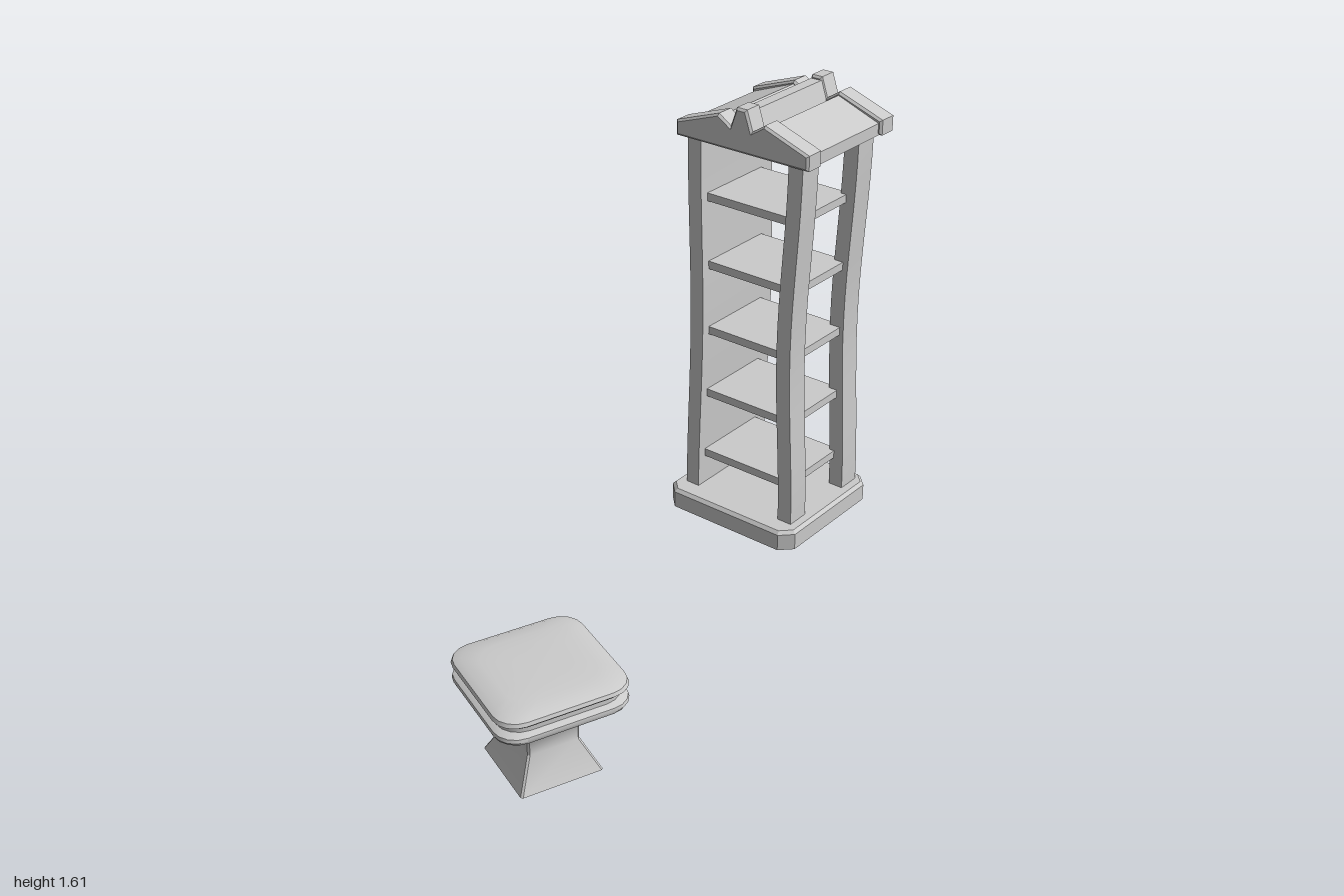
import * as THREE from 'three';
import { toCreasedNormals } from 'three/addons/utils/BufferGeometryUtils.js';

const material = new THREE.MeshStandardMaterial({ color: 0xcccccc });

function add(parent, name, geometry, x = 0, y = 0, z = 0) {
  const mesh = new THREE.Mesh(geometry, material);
  mesh.name = name;
  mesh.position.set(x, y, z);
  parent.add(mesh);
  return mesh;
}

// Closed stack of square rings [y, half width], corners cut by radius r in n steps
function squareLoft(rings, r, n, crease) {
  const pos = [], idx = [], count = 4 * (n + 1);
  for (const [y, h] of rings) {
    for (let q = 0; q < 4; q++) {
      for (let k = 0; k <= n; k++) {
        const a = (q + (n ? k / n : 0.5)) * Math.PI / 2;
        const m = (q + 0.5) * Math.PI / 2;
        const c = h - r;
        pos.push(Math.sign(Math.cos(m)) * c + r * Math.cos(a), y,
          Math.sign(Math.sin(m)) * c + r * Math.sin(a));
      }
    }
  }
  for (let i = 0; i < rings.length - 1; i++) {
    for (let j = 0; j < count; j++) {
      const a = i * count + j, b = i * count + (j + 1) % count;
      idx.push(a, a + count, b, b, a + count, b + count);
    }
  }
  // Bottom and top caps
  const bottom = pos.length / 3, top = bottom + 1, last = (rings.length - 1) * count;
  pos.push(0, rings[0][0], 0, 0, rings[rings.length - 1][0], 0);
  for (let j = 0; j < count; j++) {
    const k = (j + 1) % count;
    idx.push(bottom, j, k, top, last + k, last + j);
  }
  const g = new THREE.BufferGeometry();
  g.setAttribute('position', new THREE.Float32BufferAttribute(pos, 3));
  g.setIndex(idx);
  return toCreasedNormals(g, crease);
}

// Upright board whose middle is shifted along z
function bowedBoard(w, h, d, bow) {
  const g = new THREE.BoxGeometry(w, h, d, 1, 16, 1);
  const p = g.attributes.position;
  for (let i = 0; i < p.count; i++) {
    const t = p.getY(i) / h;
    p.setZ(i, p.getZ(i) + bow * 0.5 * (1 + Math.cos(t * Math.PI * 2)));
  }
  g.computeVertexNormals();
  return g;
}

// Gabled roof slice along x, shrunk inwards by inset
function roofSlice(length, inset, bevel) {
  const half = [[0.275, 1.45], [0.275, 1.505], [0.095, 1.568], [0.045, 1.535], [0.021, 1.605]];
  const right = half.map(([z, y], i) =>
    new THREE.Vector2(i < 2 ? z - inset : z, i === 0 ? y : y - inset));
  const left = right.map(v => new THREE.Vector2(-v.x, v.y)).reverse();
  const g = new THREE.ExtrudeGeometry(new THREE.Shape([...right, ...left]), {
    depth: length - 2 * bevel, bevelEnabled: bevel > 0, bevelSize: bevel,
    bevelOffset: -bevel, bevelThickness: bevel, bevelSegments: 1,
  });
  g.translate(0, 0, bevel - length / 2);
  return g.rotateY(Math.PI / 2);
}

function buildBookcase() {
  const g = new THREE.Group();
  g.name = 'bookcase';

  // Plinth with cut corners
  const w = 0.265, d = 0.283, c = 0.045;
  const outline = [[w, d - c], [w - c, d], [c - w, d], [-w, d - c],
    [-w, c - d], [c - w, -d], [w - c, -d], [w, c - d]].map(p => new THREE.Vector2(...p));
  const plinth = new THREE.ExtrudeGeometry(new THREE.Shape(outline), {
    depth: 0.063, bevelSize: 0.012, bevelOffset: -0.012, bevelThickness: 0.012, bevelSegments: 1,
  });
  // Flatten the lower bevel so only the top edge is chamfered
  const p = plinth.attributes.position;
  for (let i = 0; i < p.count; i++) p.setZ(i, Math.max(p.getZ(i), 0));
  plinth.rotateX(-Math.PI / 2);
  plinth.computeVertexNormals();
  add(g, 'plinth', plinth, -0.016, 0, 0);

  // Bowed front posts and back panel
  const h = 1.4, mid = 0.06 + h / 2;
  for (const s of [-1, 1]) {
    add(g, s > 0 ? 'leftFrontPost' : 'rightFrontPost',
      bowedBoard(0.09, h, 0.058, -0.027), s * 0.163, mid, 0.213);
  }
  add(g, 'backPanel', bowedBoard(0.41, h, 0.056, 0.015), 0, mid, -0.213);

  // Shelves
  for (let i = 0; i < 5; i++) {
    add(g, 'shelf', new THREE.BoxGeometry(0.31, 0.03, 0.4), -0.015, 0.205 + i * 0.256, 0);
  }

  // Roof with thicker gable ends
  add(g, 'roof', roofSlice(0.4, 0.012, 0), 0.026, 0, 0);
  for (const s of [-1, 1]) {
    add(g, s > 0 ? 'leftGable' : 'rightGable', roofSlice(0.08, 0, 0.008), 0.026 + s * 0.215, 0, 0);
  }
  return g;
}

function buildStool() {
  const g = new THREE.Group();
  g.name = 'stool';
  // Flared square pedestal
  add(g, 'pedestal', squareLoft([[0.01, 0.137], [0.115, 0.086], [0.16, 0.086],
    [0.235, 0.128], [0.268, 0.145]], 0.006, 1, 0.6));
  // Cushioned seat with a groove around its edge
  add(g, 'seat', squareLoft([[0.262, 0.14], [0.264, 0.19], [0.274, 0.212], [0.285, 0.217],
    [0.296, 0.215], [0.304, 0.203], [0.306, 0.198], [0.329, 0.198], [0.331, 0.21],
    [0.339, 0.217], [0.351, 0.213], [0.361, 0.193], [0.367, 0.15], [0.37, 0.1]], 0.075, 4, 0.7));
  return g;
}

export function createModel() {
  const model = new THREE.Group();
  const bookcase = buildBookcase();
  bookcase.position.set(0.63, 0, -0.41);
  bookcase.rotation.y = 0.38;
  const stool = buildStool();
  stool.position.set(-0.783, 0, 0.55);
  model.add(bookcase, stool);
  return model;
}
